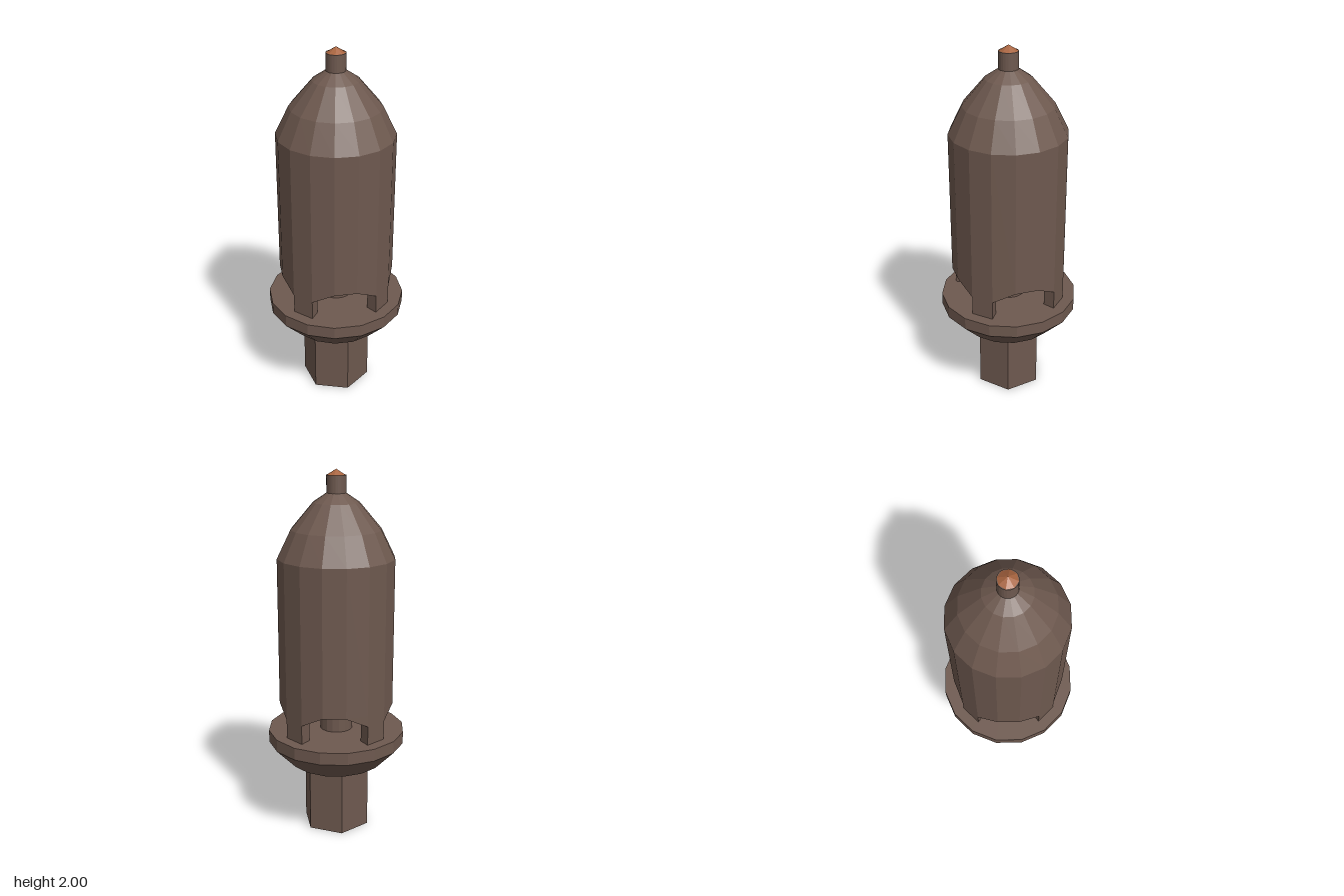
import * as THREE from 'three';

const SIDES = 16;
const OUTER = 0.317, INNER = 0.25;
const SLOT_TOP = 0.74, SHOULDER = 0.68, FLANGE_TOP = 0.575;

// point on the body wall: side index, radius, height
function at(i, r, y) {
  const a = (i / SIDES) * Math.PI * 2;
  return [Math.sin(a) * r, y, Math.cos(a) * r];
}

// lower end of the hollow body: four arched slots between four posts
function slottedWall() {
  const pos = [];
  const quad = (a, b, c, d) => pos.push(...a, ...b, ...c, ...a, ...c, ...d);
  const arch = [SHOULDER, SLOT_TOP, SLOT_TOP, SHOULDER];
  for (let i = 0; i < SIDES; i++) {
    const k = (i + 2) % 4, j = i + 1;
    const isPost = k === 3;
    const ya = isPost ? FLANGE_TOP : arch[k];
    const yb = isPost ? FLANGE_TOP : arch[(k + 1) % 4];
    // outer and inner skins
    quad(at(i, OUTER, ya), at(j, OUTER, yb), at(j, OUTER, SLOT_TOP), at(i, OUTER, SLOT_TOP));
    quad(at(j, INNER, yb), at(i, INNER, ya), at(i, INNER, SLOT_TOP), at(j, INNER, SLOT_TOP));
    // underside
    quad(at(i, OUTER, ya), at(i, INNER, ya), at(j, INNER, yb), at(j, OUTER, yb));
    // cheeks of the post
    if (isPost) {
      quad(at(i, INNER, ya), at(i, OUTER, ya), at(i, OUTER, SHOULDER), at(i, INNER, SHOULDER));
      quad(at(j, OUTER, yb), at(j, INNER, yb), at(j, INNER, SHOULDER), at(j, OUTER, SHOULDER));
    }
    // ceiling of the hollow
    pos.push(...at(i, INNER, SLOT_TOP), ...at(i, 0, SLOT_TOP), ...at(j, INNER, SLOT_TOP));
  }
  const g = new THREE.BufferGeometry();
  g.setAttribute('position', new THREE.Float32BufferAttribute(pos, 3));
  g.computeVertexNormals();
  return g;
}

function lathe(points, sides) {
  const g = new THREE.LatheGeometry(points.map(([r, y]) => new THREE.Vector2(r, y)), sides).toNonIndexed();
  g.computeVertexNormals();
  return g;
}

function cylinder(rTop, rBottom, y0, y1, sides) {
  const g = new THREE.CylinderGeometry(rTop, rBottom, y1 - y0, sides).toNonIndexed();
  g.translate(0, (y0 + y1) / 2, 0);
  g.computeVertexNormals();
  return g;
}

export function createModel() {
  const group = new THREE.Group();
  const metal = new THREE.MeshStandardMaterial({ color: 0x6e594f });
  metal.name = 'dark brown metal';
  const copper = new THREE.MeshStandardMaterial({ color: 0xa8643f });
  copper.name = 'copper';

  const add = (name, geometry, material = metal) => {
    const mesh = new THREE.Mesh(geometry, material);
    mesh.name = name;
    group.add(mesh);
    return mesh;
  };

  // hexagonal stem
  add('hexStem', cylinder(0.19, 0.19, 0, 0.39, 6));

  // flange with tapered underside
  add('flange', lathe([[0, 0.388], [0.265, 0.388], [0.38, 0.507], [0.38, FLANGE_TOP], [0, FLANGE_TOP]], SIDES));

  // core seen through the slots
  add('core', cylinder(0.09, 0.09, FLANGE_TOP, SLOT_TOP, SIDES));

  // slotted lower wall, then barrel and rounded nose
  add('slottedWall', slottedWall());
  add('barrel', lathe([[OUTER, SLOT_TOP], [OUTER, 1.54], [0.243, 1.69], [0.124, 1.83], [0.05, 1.88], [0, 1.88]], SIDES));

  // nose pin with pointed tip
  add('nosePin', cylinder(0.052, 0.052, 1.875, 1.97, 24));
  const tip = add('pinTip', cylinder(0, 0.05, 1.97, 2.0, 8), copper);
  tip.rotation.y = Math.PI / 8;

  return group;
}
